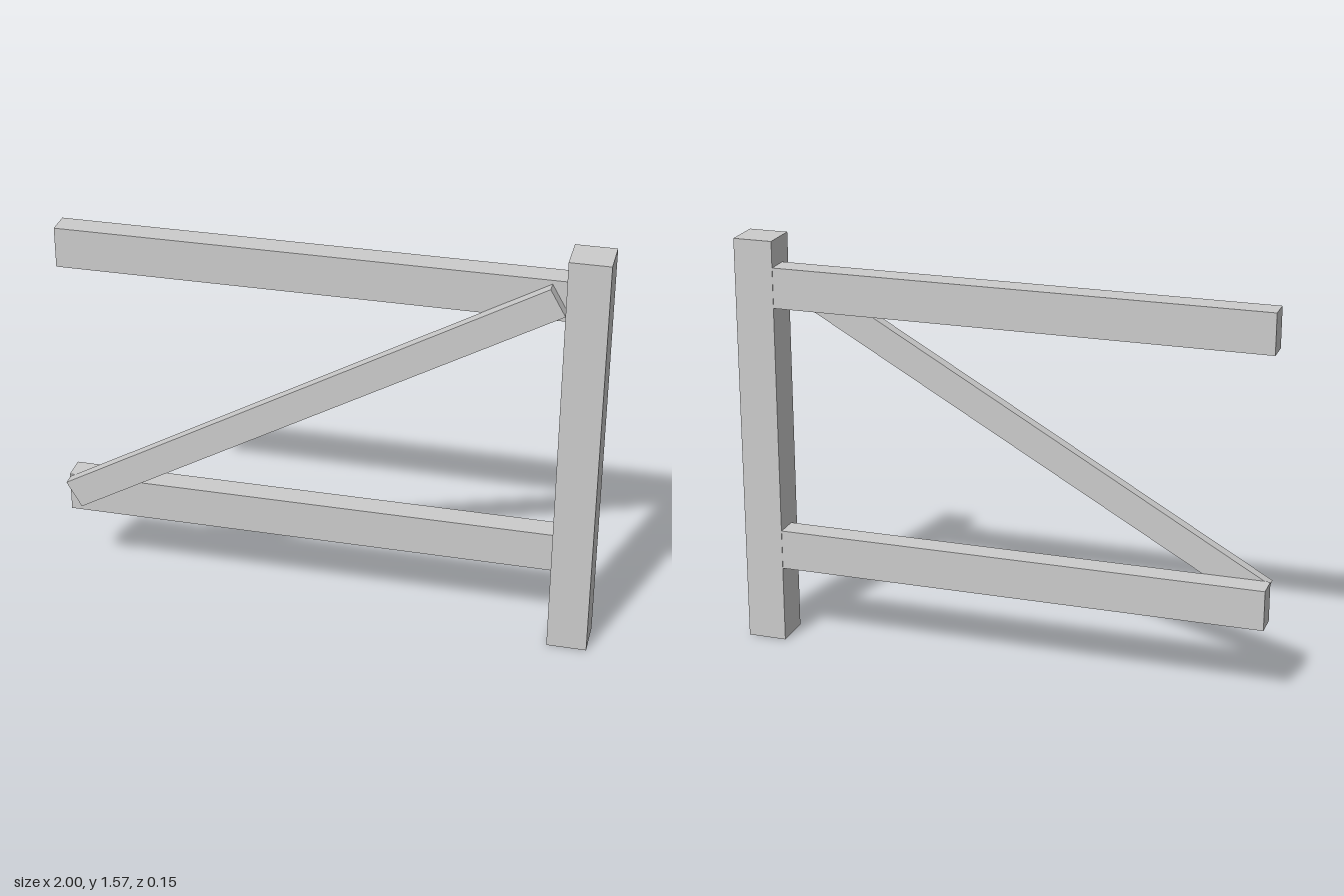
import * as THREE from 'three';

export function createModel() {
  const group = new THREE.Group();
  const material = new THREE.MeshStandardMaterial({ color: 0xcccccc, flatShading: true });

  function beam(name, [w, h, d], [x, y, z], angle = 0) {
    const mesh = new THREE.Mesh(new THREE.BoxGeometry(w, h, d), material);
    mesh.name = name;
    mesh.position.set(x, y, z);
    mesh.rotation.z = angle;
    group.add(mesh);
  }

  // Upright post
  beam('post', [0.148, 1.57, 0.148], [0.926, 0.785, 0]);

  // Horizontal rails, butted against the post
  beam('upperRail', [1.852, 0.152, 0.092], [-0.074, 1.395, -0.026]);
  beam('lowerRail', [1.852, 0.152, 0.092], [-0.074, 0.371, -0.026]);

  // Diagonal brace laid on the front of the rails
  beam('diagonalBrace', [2.065, 0.113, 0.044], [-0.074, 0.897, 0.042], THREE.MathUtils.degToRad(29.65));

  return group;
}
